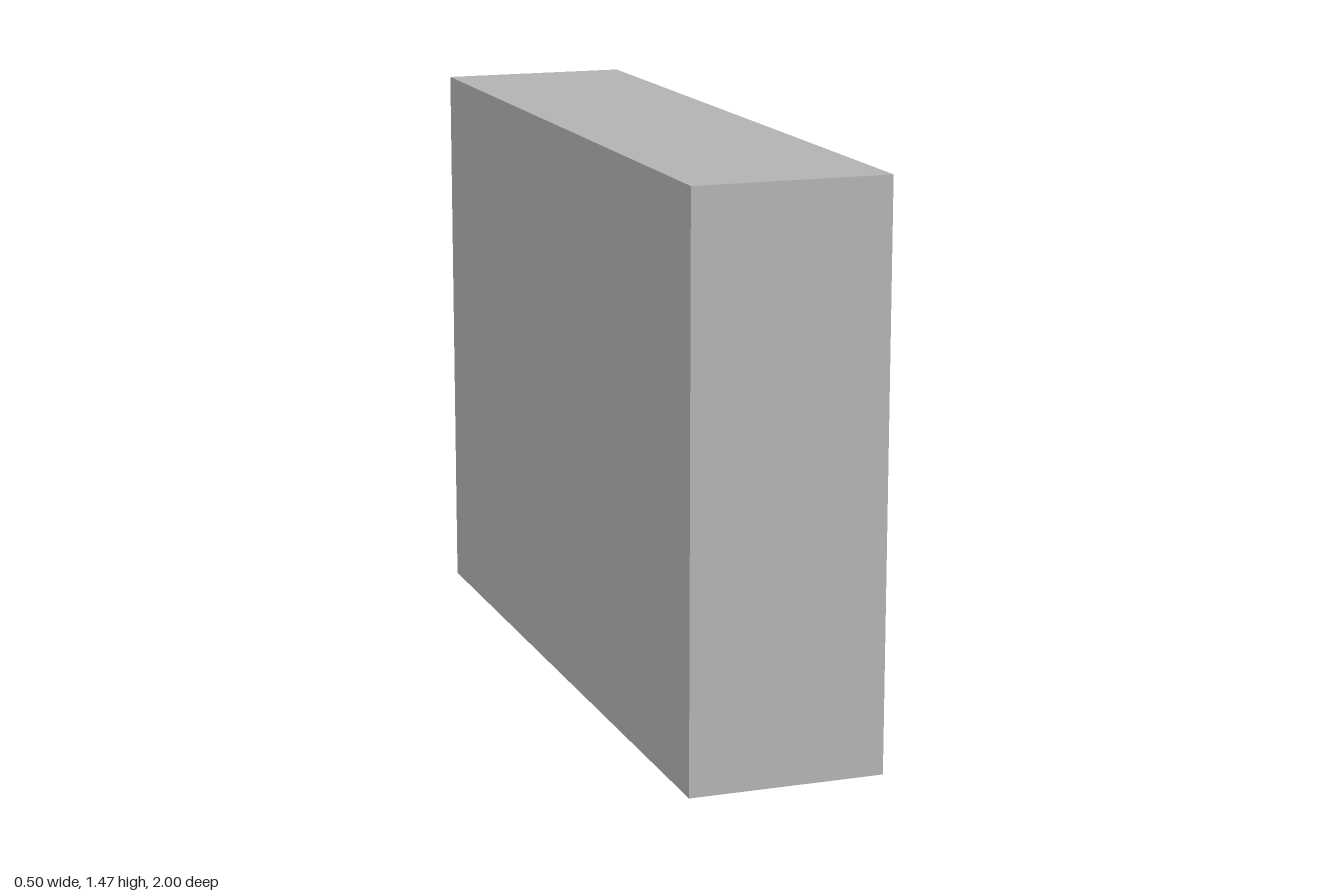
import * as THREE from 'three';

const WIDTH = 2, HEIGHT = 1.47, DEPTH = 0.5, BACK = 0.05;

// Adds a rectangular outline to a Shape or Path
function rect(path, x0, y0, x1, y1) {
  path.moveTo(x0, y0);
  path.lineTo(x1, y0);
  path.lineTo(x1, y1);
  path.lineTo(x0, y1);
  path.closePath();
  return path;
}

export function createModel() {
  const model = new THREE.Group();
  model.name = 'shelfUnit';
  const grey = new THREE.MeshStandardMaterial({ color: 0xb2b2b2 });
  grey.name = 'plain grey';

  // Frame with one wide top compartment and a two by two block below
  const outline = rect(new THREE.Shape(), -WIDTH / 2, 0, WIDTH / 2, HEIGHT);
  outline.holes.push(rect(new THREE.Path(), -0.897, 1.045, 0.897, 1.413));
  for (const [bottom, top] of [[0.027, 0.466], [0.52, 0.955]]) {
    for (const [left, right] of [[-0.955, -0.045], [0.045, 0.955]]) {
      outline.holes.push(rect(new THREE.Path(), left, bottom, right, top));
    }
  }
  const frameGeometry = new THREE.ExtrudeGeometry(outline, { depth: DEPTH - BACK, bevelEnabled: false });
  frameGeometry.rotateY(Math.PI / 2); // openings face +x
  const frame = new THREE.Mesh(frameGeometry, grey);
  frame.name = 'shelfFrame';
  frame.position.x = -DEPTH / 2 + BACK;
  model.add(frame);

  // Closed back
  const back = new THREE.Mesh(new THREE.BoxGeometry(BACK, HEIGHT, WIDTH), grey);
  back.name = 'backPanel';
  back.position.set(-DEPTH / 2 + BACK / 2, HEIGHT / 2, 0);
  model.add(back);

  return model;
}
